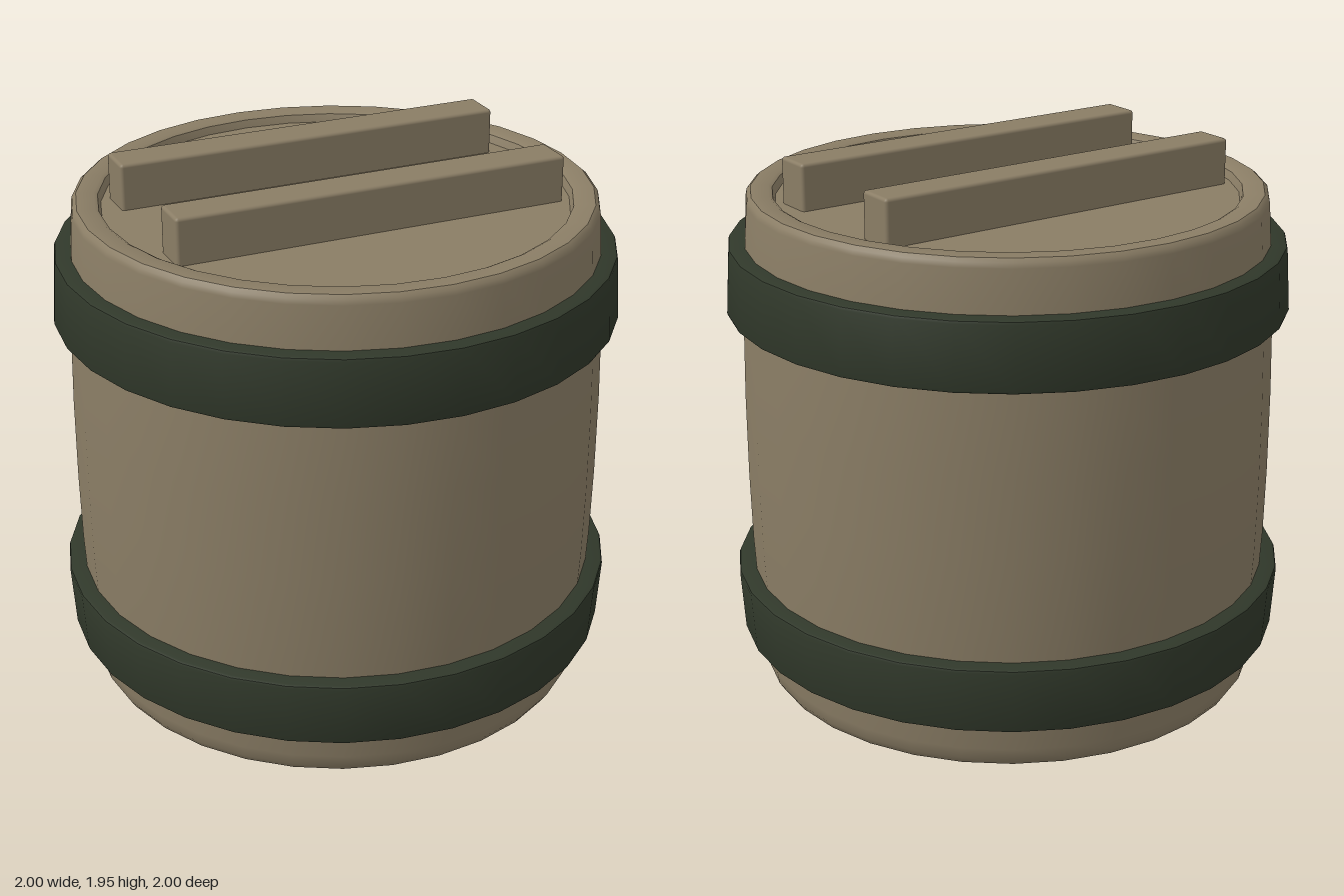
import * as THREE from 'three';
import { toCreasedNormals } from 'three/addons/utils/BufferGeometryUtils.js';
import { RoundedBoxGeometry } from 'three/addons/geometries/RoundedBoxGeometry.js';

const SIDES = 32;

export function createModel() {
  const group = new THREE.Group();
  const shellMaterial = new THREE.MeshStandardMaterial({ color: 0x8a7d65 });
  const bandMaterial = new THREE.MeshStandardMaterial({ color: 0x30382a });

  const add = (name, geometry, material) => {
    const mesh = new THREE.Mesh(geometry, material);
    mesh.name = name;
    group.add(mesh);
    return mesh;
  };

  // Revolve a [radius, height] profile, keeping sharp edges sharp
  const turn = (profile) => toCreasedNormals(
    new THREE.LatheGeometry(profile.map(([r, y]) => new THREE.Vector2(r, y)), SIDES), 0.7);

  // Slightly bulging barrel with a raised rim around the recessed lid
  add('barrel', turn([
    [0, 0], [0.86, 0], [0.89, 0.012], [0.908, 0.04], [0.914, 0.08],
    [0.932, 0.3], [0.945, 0.55], [0.95, 0.8], [0.95, 1.1], [0.945, 1.33], [0.932, 1.58],
    [0.918, 1.79], [0.914, 1.808], [0.9, 1.82],
    [0.838, 1.82], [0.825, 1.813], [0.82, 1.8], [0.815, 1.785], [0, 1.785],
  ]), shellMaterial);

  // Tapered hoops, widest toward the middle of the barrel
  const band = (name, y0, r0, y1, r1) => {
    const b = 0.012;
    add(name, turn([
      [0.9, y0], [r0 - b, y0], [r0 - b * 0.25, y0 + b * 0.3], [r0, y0 + b],
      [r1, y1 - b], [r1 - b * 0.25, y1 - b * 0.3], [r1 - b, y1], [0.9, y1],
    ]), bandMaterial);
  };
  band('upperBand', 1.4, 1, 1.64, 0.986);
  band('lowerBand', 0.185, 0.986, 0.425, 1);

  // Two parallel grip bars on the lid
  for (const [name, z] of [['frontLidBar', 0.267], ['backLidBar', -0.27]]) {
    const bar = add(name, new RoundedBoxGeometry(1.425, 0.18, 0.144, 2, 0.012), shellMaterial);
    bar.position.set(0, 1.86, z);
  }

  return group;
}
